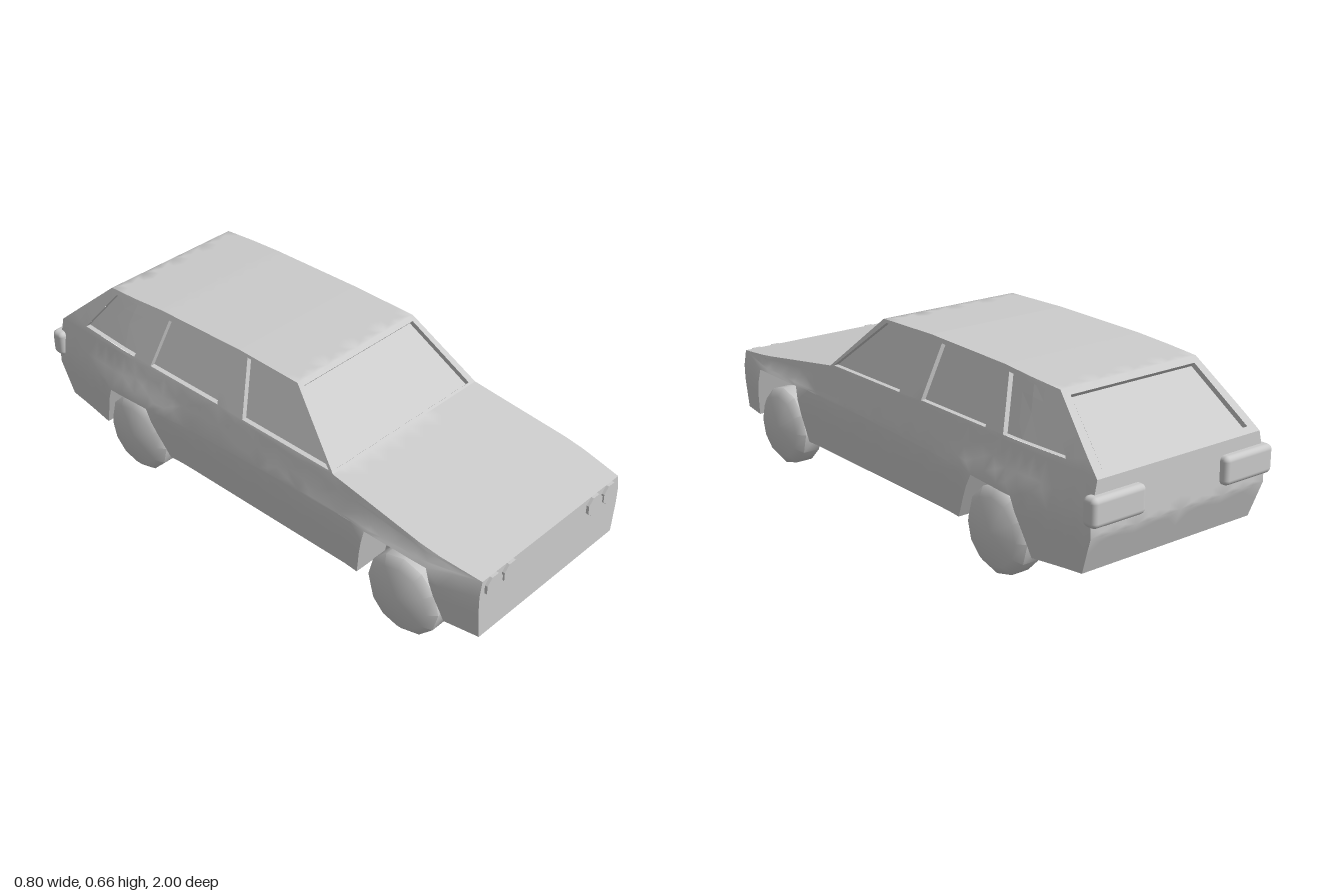
import * as THREE from 'three';
import { mergeGeometries, toCreasedNormals } from 'three/addons/utils/BufferGeometryUtils.js';
import { RoundedBoxGeometry } from 'three/addons/geometries/RoundedBoxGeometry.js';

const V2 = (p) => new THREE.Vector2(p[0], p[1]);

// Piecewise-linear lookup in [key, value] rows with rising keys
function lookup(rows, k) {
  if (k <= rows[0][0]) return rows[0][1];
  for (let i = 1; i < rows.length; i++) {
    const [a, va] = rows[i - 1], [b, vb] = rows[i];
    if (k <= b) return va + ((vb - va) * (k - a)) / (b - a);
  }
  return rows[rows.length - 1][1];
}

// Half width of the body at any point of its side
const SECTION = [[0.11, 0.37], [0.14, 0.373], [0.265, 0.387], [0.335, 0.387], [0.365, 0.377], [0.45, 0.356], [0.66, 0.279]];
const PLAN = [[-0.98, 0.945], [-0.62, 1], [0.8, 1], [0.99, 0.93]];
const FLARE_Z = [[-0.85, 0], [-0.65, 0.013], [-0.42, 0.013], [-0.3, 0], [0.48, 0], [0.56, 0.013], [0.84, 0.013], [0.99, 0]];
const FLARE_Y = [[0.12, 0.6], [0.25, 1], [0.335, 1], [0.37, 0.2], [0.44, 0]];
const halfWidth = (z, y) =>
  lookup(SECTION, y) * lookup(PLAN, z) + lookup(FLARE_Z, z) * lookup(FLARE_Y, y);

// Side profile as [z, y]
const REAR_ARCH = [[-0.72, 0.113], [-0.65, 0.3], [-0.46, 0.31], [-0.37, 0.135]];
const FRONT_ARCH = [[0.515, 0.135], [0.56, 0.34], [0.81, 0.34], [0.87, 0.145]];
const UPPER = [
  [0.99, 0.14], [0.99, 0.365], [0.39, 0.45], [0.165, 0.655], [-0.1, 0.66],
  [-0.48, 0.652], [-0.74, 0.635], [-0.97, 0.435], [-0.975, 0.26], [-0.93, 0.133],
];
const SIDE_WINDOWS = [
  [[0.37, 0.455], [0.145, 0.645], [-0.06, 0.65], [-0.02, 0.457]],
  [[-0.14, 0.46], [-0.165, 0.645], [-0.435, 0.633], [-0.475, 0.46]],
  [[-0.56, 0.46], [-0.51, 0.635], [-0.71, 0.62], [-0.835, 0.46]],
];
const WELL_X = 0.24;

// Triangulates a flat outline finely, then bends it with map(u, v, depth)
function panel(outline, holes, map, flip = false) {
  const shape = new THREE.Shape(outline.map(V2));
  shape.holes = holes.map((h) => new THREE.Path(h.map(V2)));
  const flat = new THREE.ShapeGeometry(shape).toNonIndexed().attributes.position;
  const out = [];
  const split = (a, b, c) => {
    const ab = a.distanceTo(b), bc = b.distanceTo(c), ca = c.distanceTo(a);
    const longest = Math.max(ab, bc, ca);
    if (longest < 0.08) {
      for (const p of flip ? [a, c, b] : [a, b, c]) out.push(...map(p.x, p.y, 0));
    } else {
      const [p, q, r] = longest === ab ? [a, b, c] : longest === bc ? [b, c, a] : [c, a, b];
      const m = p.clone().add(q).multiplyScalar(0.5);
      split(p, m, r);
      split(m, q, r);
    }
  };
  for (let i = 0; i < flat.count; i += 3) {
    split(...[0, 1, 2].map((k) => new THREE.Vector2(flat.getX(i + k), flat.getY(i + k))));
  }
  return fromTriangles(out);
}

function fromTriangles(values) {
  const geo = new THREE.BufferGeometry();
  geo.setAttribute('position', new THREE.Float32BufferAttribute(values, 3));
  return geo;
}

// Walls of a recessed opening
function reveal(hole, map, depth) {
  const out = [];
  hole.forEach((p, i) => {
    const q = hole[(i + 1) % hole.length];
    const [a, b, c, d] = [map(...p, 0), map(...q, 0), map(...q, depth), map(...p, depth)];
    out.push(...a, ...b, ...c, ...a, ...c, ...d);
  });
  return fromTriangles(out);
}

// Maps a strip across the car between profile points a and b, x from lo to hi
function stripMap(a, b, lo, hi) {
  const len = Math.hypot(b[0] - a[0], b[1] - a[1]);
  const dz = (b[0] - a[0]) / len, dy = (b[1] - a[1]) / len;
  const map = (u, v, d) => {
    const z = a[0] + dz * v, y = a[1] + dy * v;
    const x = THREE.MathUtils.lerp(lo(z, y), hi(z, y), u + 0.5);
    return [x, y + dz * d, z - dy * d];
  };
  return { map, len };
}

const rect = (u, v0, v1) => [[-u, v0], [u, v0], [u, v1], [-u, v1]];
const right = (z, y) => -halfWidth(z, y);
const wellLeft = () => WELL_X, wellRight = () => -WELL_X;

export function createModel() {
  const car = new THREE.Group();
  car.name = 'car';
  const grey = new THREE.MeshStandardMaterial({ color: 0xcccccc });
  const thin = new THREE.MeshStandardMaterial({ color: 0xcccccc, side: THREE.DoubleSide });
  const add = (name, geo, mat = grey) => {
    const mesh = new THREE.Mesh(geo, mat);
    mesh.name = name;
    car.add(mesh);
    return mesh;
  };

  const skin = [], frames = [], wells = [], floor = [];
  const addWindow = (name, hole, map, flip) => {
    frames.push(reveal(hole, map, 0.018));
    const glass = panel(hole, [], (u, v) => map(u, v, 0.018), flip);
    glass.computeVertexNormals();
    add(name, glass, thin);
  };
  const addStrip = (list, a, b, lo = right, hi = halfWidth) => {
    const { map, len } = stripMap(a, b, lo, hi);
    list.push(panel(rect(0.5, 0, len), [], map));
  };

  // Nose, hood, windshield, roof, tailgate and tail
  for (let i = 0; i < UPPER.length - 1; i++) {
    const { map, len } = stripMap(UPPER[i], UPPER[i + 1], right, halfWidth);
    const holes = [];
    if (i === 2) holes.push(rect(0.465, 0.03 * len, 0.94 * len));
    if (i === 6) holes.push(rect(0.45, 0.08 * len, 0.92 * len));
    skin.push(panel(rect(0.5, 0, len), holes, map));
    if (holes.length) addWindow(i === 2 ? 'windshield' : 'rearWindow', holes[0], map, false);
  }

  // Sides with window openings and wheel arches, and the wheel wells
  const outline = [...UPPER, ...REAR_ARCH, ...FRONT_ARCH];
  for (const s of [1, -1]) {
    const map = (z, y, d) => [s * (halfWidth(z, y) - d), y, z];
    skin.push(panel(outline, SIDE_WINDOWS, map, s > 0));
    SIDE_WINDOWS.forEach((w, i) =>
      addWindow(`${s > 0 ? 'left' : 'right'}Window${i + 1}`, w, map, s > 0));
    for (const arch of [REAR_ARCH, FRONT_ARCH]) {
      wells.push(panel(arch, [], (z, y) => [s * WELL_X, y, z], s > 0));
      for (let i = 0; i < 3; i++) {
        if (s > 0) addStrip(wells, arch[i], arch[i + 1], wellLeft, halfWidth);
        else addStrip(wells, arch[i], arch[i + 1], right, wellRight);
      }
    }
  }

  // Underside, narrowed between the wheel wells
  addStrip(floor, UPPER[UPPER.length - 1], REAR_ARCH[0]);
  addStrip(floor, REAR_ARCH[3], FRONT_ARCH[0]);
  addStrip(floor, FRONT_ARCH[3], UPPER[0]);
  for (const arch of [REAR_ARCH, FRONT_ARCH]) addStrip(floor, arch[0], arch[3], wellRight, wellLeft);

  add('body', toCreasedNormals(mergeGeometries(skin), 0.8));
  add('wheelWells', toCreasedNormals(mergeGeometries(wells), 0.4));
  add('underside', toCreasedNormals(mergeGeometries(floor), 0.4));
  const trim = mergeGeometries(frames);
  trim.computeVertexNormals();
  add('windowFrames', trim, thin);

  // Wheels with a domed outer face
  const tyre = [[0, 0.3], [0.145, 0.3], [0.145, 0.365], [0.115, 0.39], [0, 0.396]].map(V2);
  const wheelGeo = toCreasedNormals(new THREE.LatheGeometry(tyre, 12), 0.9);
  for (const s of [1, -1]) {
    for (const [end, z] of [['front', 0.7], ['rear', -0.55]]) {
      const wheel = add(`${end}${s > 0 ? 'Left' : 'Right'}Wheel`, wheelGeo);
      wheel.rotation.z = (-s * Math.PI) / 2;
      wheel.position.set(0, 0.145, z);
    }
    // Paired octagonal headlights
    for (const x of [0.217, 0.3]) {
      const lamp = new THREE.CylinderGeometry(0.04, 0.04, 0.02, 8).rotateY(Math.PI / 8).rotateX(Math.PI / 2);
      add('headlight', toCreasedNormals(lamp, 0.5)).position.set(s * x, 0.328, 0.99);
    }
    // Tail lights wrapping the rear corners
    add('tailLight', new RoundedBoxGeometry(0.212, 0.096, 0.056, 3, 0.018)).position.set(s * 0.272, 0.343, -0.972);
  }
  return car;
}
